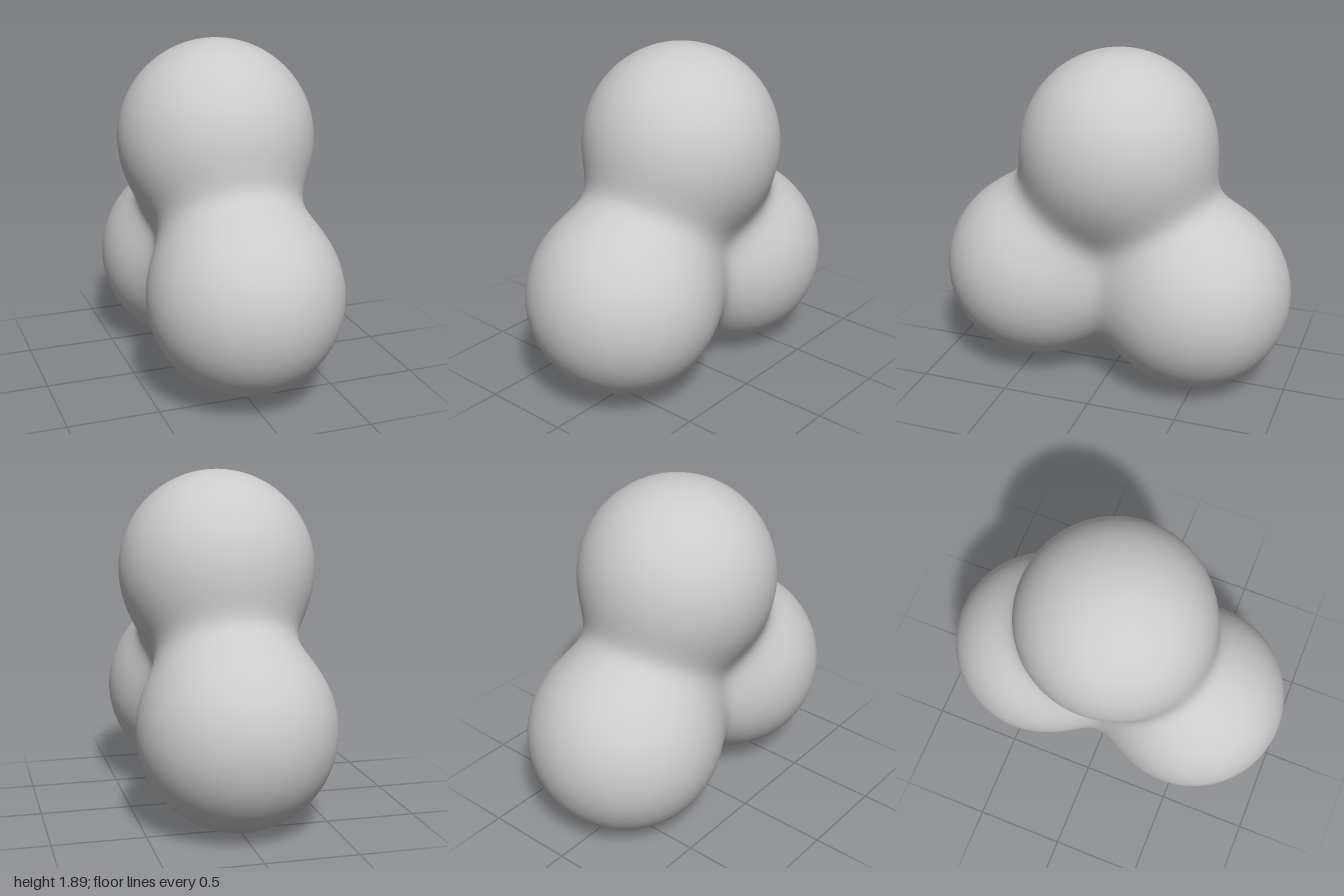
import * as THREE from 'three';
import { mergeVertices } from 'three/addons/utils/BufferGeometryUtils.js';

// Three balls melted together: centre and radius of each
const balls = [
  { c: new THREE.Vector3(0, 1.35, -0.015), r: 0.54 }, // top
  { c: new THREE.Vector3(0, 0.585, 0.47), r: 0.53 }, // front
  { c: new THREE.Vector3(0, 0.537, -0.465), r: 0.535 }, // back
];
const BLEND = 0.1;

// Smooth union of the ball distances
function field(p) {
  let sum = 0;
  for (const { c, r } of balls) sum += Math.exp(-(p.distanceTo(c) - r) / BLEND);
  return -BLEND * Math.log(sum);
}

// Push every vertex of a fine sphere out from the shared core to the blended surface
function blobGeometry() {
  const sphere = new THREE.IcosahedronGeometry(1, 44);
  sphere.deleteAttribute('normal');
  sphere.deleteAttribute('uv');
  const geometry = mergeVertices(sphere, 1e-5);
  const core = new THREE.Vector3(0, 0.82, 0);
  const pos = geometry.attributes.position;
  const dir = new THREE.Vector3();
  const p = new THREE.Vector3();
  for (let i = 0; i < pos.count; i++) {
    dir.fromBufferAttribute(pos, i).normalize();
    let inside = 0;
    let outside = 1.6;
    for (let k = 0; k < 24; k++) {
      const mid = (inside + outside) / 2;
      p.copy(core).addScaledVector(dir, mid);
      if (field(p) < 0) inside = mid;
      else outside = mid;
    }
    pos.setXYZ(i, p.x, p.y, p.z);
  }
  geometry.computeVertexNormals();
  return geometry;
}

export function createModel() {
  const group = new THREE.Group();
  group.name = 'mergedBalls';
  const body = new THREE.Mesh(blobGeometry(), new THREE.MeshStandardMaterial({ color: 0xcccccc }));
  body.name = 'blendedBody';
  group.add(body);
  return group;
}
